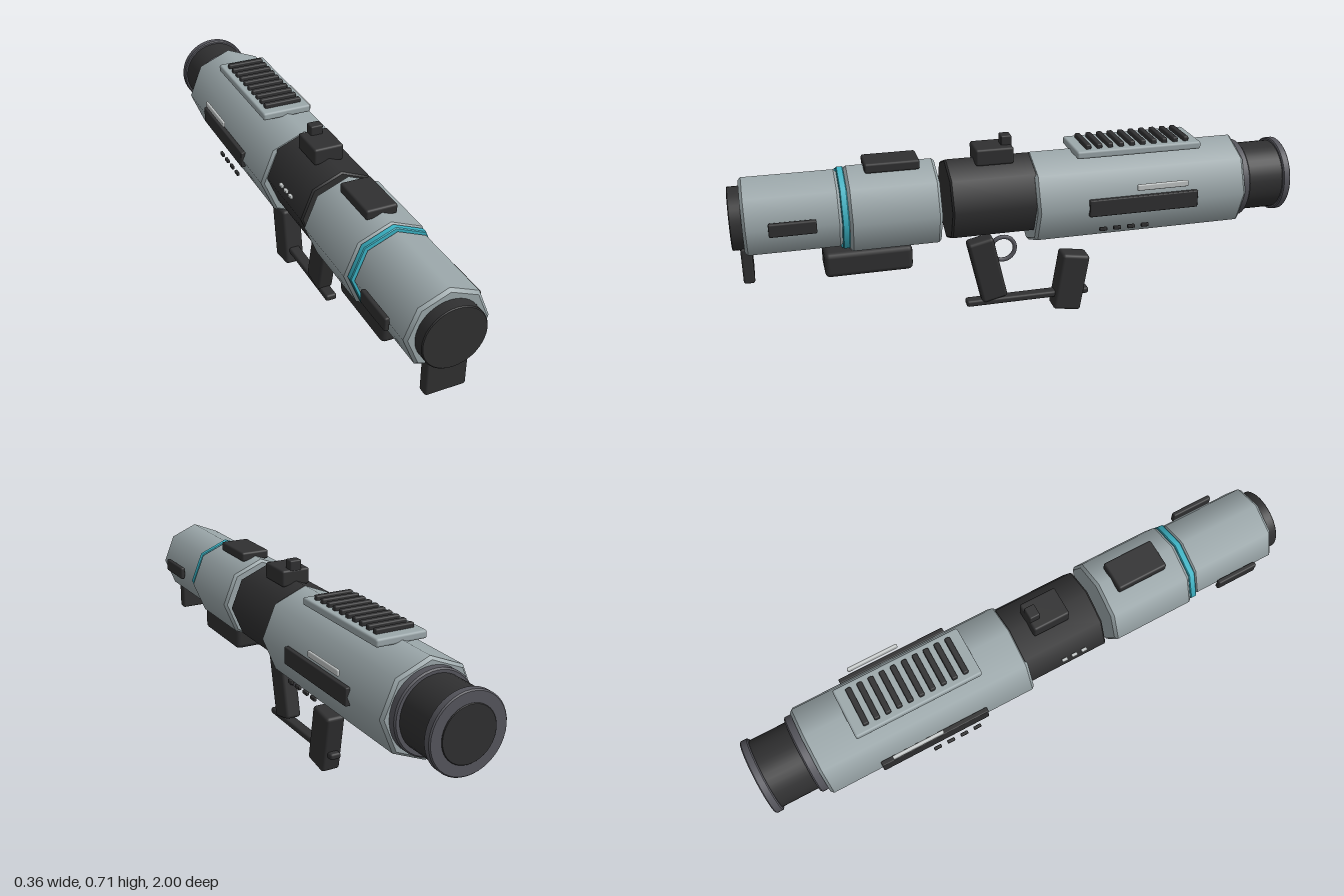
import * as THREE from 'three';
import { mergeGeometries } from 'three/addons/utils/BufferGeometryUtils.js';
import { RoundedBoxGeometry } from 'three/addons/geometries/RoundedBoxGeometry.js';

function material(name, color) {
  const m = new THREE.MeshStandardMaterial({ color });
  m.name = name;
  return m;
}

export function createModel() {
  const group = new THREE.Group();
  const grey = material('shell grey', 0x9ca8ab);
  const dark = material('dark rubber', 0x303031);
  const steel = material('gunmetal', 0x56565d);
  const cyan = material('cyan glow', 0x3ab4c6);
  const light = material('light marking', 0xc4c8c8);

  function add(name, geometry, mat, x = 0, y = 0, z = 0) {
    const mesh = new THREE.Mesh(geometry, mat);
    mesh.name = name;
    mesh.position.set(x, y, z);
    group.add(mesh);
    return mesh;
  }

  // Solid of revolution along z with a small chamfer at both ends
  function barrel(name, mat, radius, y, z0, z1, sides = 8, bevel = 0.008) {
    const length = z1 - z0;
    const mid = length / 2 - bevel;
    const inner = radius - bevel;
    const cap = (length - bevel) / 2;
    const parts = [
      new THREE.CylinderGeometry(radius, radius, mid * 2, sides, 1, true),
      new THREE.CylinderGeometry(inner, radius, bevel, sides, 1, true).translate(0, cap, 0),
      new THREE.CylinderGeometry(radius, inner, bevel, sides, 1, true).translate(0, -cap, 0),
      new THREE.CircleGeometry(inner, sides).rotateX(-Math.PI / 2).translate(0, length / 2, 0),
      new THREE.CircleGeometry(inner, sides).rotateX(Math.PI / 2).translate(0, -length / 2, 0),
    ];
    return add(name, mergeGeometries(parts).rotateX(Math.PI / 2), mat, 0, y, (z0 + z1) / 2);
  }

  // Soft-edged box given by its size and centre
  function block(name, mat, w, h, d, x, y, z, r = 0.008) {
    return add(name, new RoundedBoxGeometry(w, h, d, 2, r), mat, x, y, z);
  }

  // Tube sections, front to back
  barrel('muzzleCap', dark, 0.108, 0.492, 0.94, 1.0, 40, 0.003);
  barrel('frontShell', grey, 0.141, 0.495, 0.637, 0.96, 8, 0.01);
  barrel('glowRing', cyan, 0.15, 0.494, 0.614, 0.638, 8, 0.003);
  barrel('middleShell', grey, 0.157, 0.488, 0.302, 0.614, 8, 0.01);
  barrel('receiver', dark, 0.148, 0.488, -0.04, 0.267, 8, 0.006);
  barrel('rearShell', grey, 0.169, 0.468, -0.805, -0.028, 8, 0.01);
  barrel('rearCollar', steel, 0.142, 0.468, -0.834, -0.79, 40, 0.005);
  barrel('exhaustTube', dark, 0.125, 0.47, -0.98, -0.82, 40, 0.003);
  barrel('exhaustFlange', steel, 0.135, 0.47, -0.997, -0.968, 40, 0.004);
  barrel('exhaustPlug', dark, 0.095, 0.47, -1.0, -0.985, 40, 0.002);

  // Blocks above and below the tube
  block('frontFoot', dark, 0.138, 0.13, 0.038, 0, 0.341, 0.956);
  block('bellyPack', dark, 0.136, 0.09, 0.305, 0, 0.307, 0.55, 0.018);
  block('topPad', dark, 0.11, 0.035, 0.188, 0, 0.645, 0.453);
  block('sightBase', dark, 0.108, 0.06, 0.135, 0, 0.648, 0.098);
  block('sightPost', dark, 0.045, 0.04, 0.038, 0, 0.691, 0.05, 0.005);

  // Vent panel with cooling slats
  block('ventPanel', grey, 0.184, 0.028, 0.462, 0, 0.639, -0.418);
  for (let i = 0; i < 10; i++) {
    block('ventSlat', dark, 0.14, 0.022, 0.02, 0, 0.658, -0.235 - i * 0.0405, 0.005);
  }

  // Side panels, strips and studs, mirrored
  for (const s of [1, -1]) {
    block('frontSidePanel', dark, 0.018, 0.047, 0.156, s * 0.152, 0.499, 0.8, 0.006);
    block('rearSidePanel', dark, 0.018, 0.062, 0.402, s * 0.166, 0.469, -0.413, 0.004);
    block('sideStrip', light, 0.011, 0.023, 0.19, s * 0.1755, 0.534, -0.477, 0.005);
    for (let i = 0; i < 4; i++) {
      block('sideStud', dark, 0.011, 0.013, 0.028, s * 0.1755, 0.391, -0.261 - i * 0.0515, 0.003);
    }
  }

  // Small indicator marks on one side of the receiver
  for (let i = 0; i < 3; i++) {
    block('indicator', light, 0.012, 0.012, 0.022, -0.147, 0.53, 0.1 + i * 0.038, 0.003);
  }

  // Grips, lower bar and trigger guard
  block('pistolGrip', dark, 0.062, 0.245, 0.096, 0, 0.203, 0.121, 0.012).rotation.x = 0.22;
  block('rearGrip', dark, 0.074, 0.223, 0.106, 0, 0.119, -0.195, 0.012).rotation.x = -0.16;
  block('lowerBar', dark, 0.042, 0.024, 0.466, 0, 0.072, -0.033);
  add('triggerGuard', new THREE.TorusGeometry(0.045, 0.008, 10, 32).rotateY(Math.PI / 2), steel, 0, 0.275, 0.06);

  return group;
}
